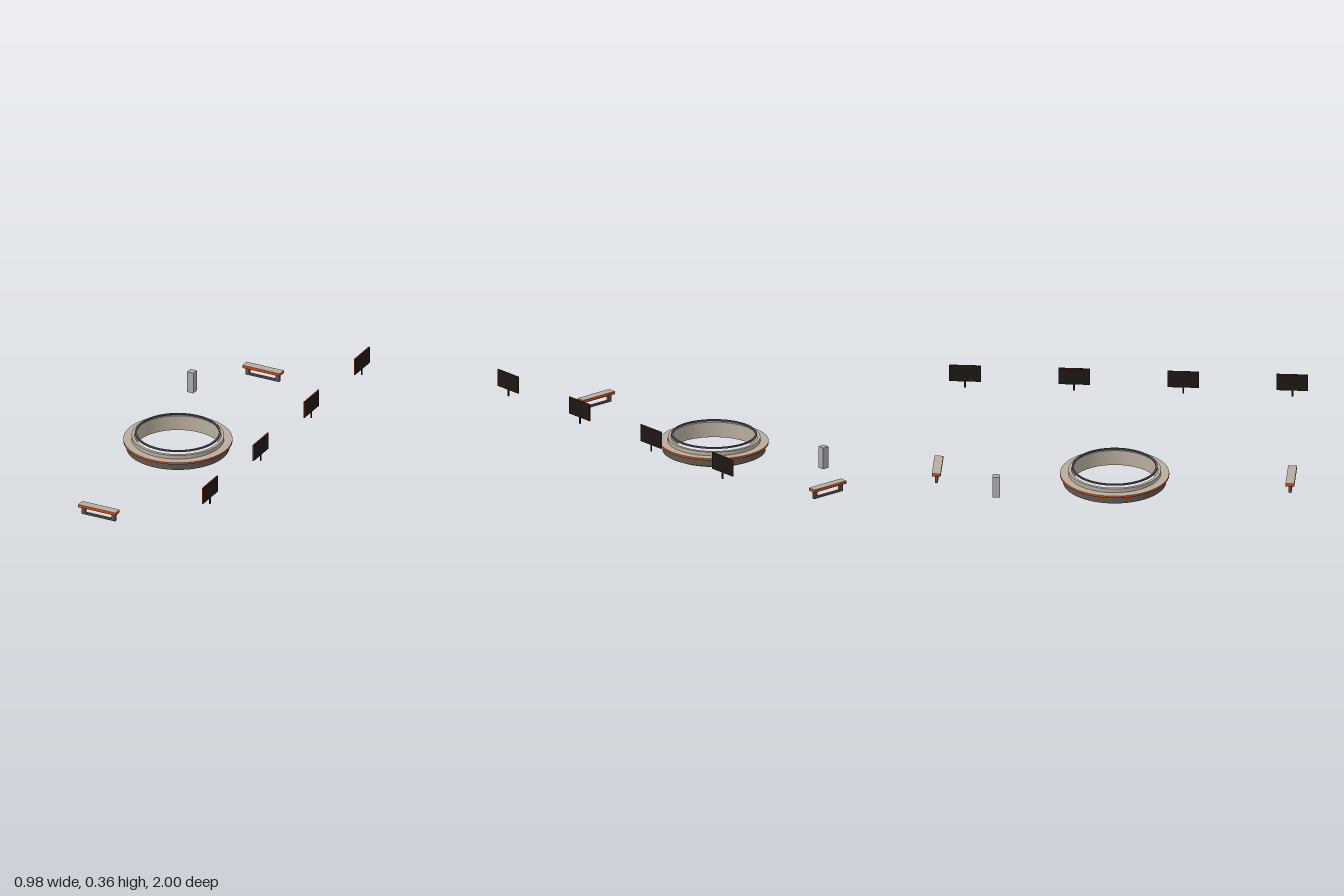
import * as THREE from 'three';
import { toCreasedNormals } from 'three/addons/utils/BufferGeometryUtils.js';

const mat = (color) => new THREE.MeshStandardMaterial({ color });

export function createModel() {
  const stone = mat(0xb8ac9e), orange = mat(0xd0480e), dark = mat(0x5c5853);
  const black = mat(0x1c1714), metal = mat(0x55555a), grey = mat(0xaaaaaa);
  const model = new THREE.Group();

  const group = (name, x, z) => {
    const g = new THREE.Group();
    g.name = name;
    g.position.set(x, 0, z);
    model.add(g);
    return g;
  };

  // Box given by its centre in x and z and its lower and upper y
  const box = (parent, name, material, w, y0, y1, d, x = 0, z = 0) => {
    const m = new THREE.Mesh(new THREE.BoxGeometry(w, y1 - y0, d), material);
    m.name = name;
    m.position.set(x, (y0 + y1) / 2, z);
    parent.add(m);
  };

  // Ring of rectangular section with smooth walls and sharp rims
  const ring = (parent, name, material, ri, ro, y0, y1) => {
    const profile = [[ro, y0], [ro, y1], [ri, y1], [ri, y0], [ro, y0]]
      .map(([r, y]) => new THREE.Vector2(r, y));
    const geo = toCreasedNormals(new THREE.LatheGeometry(profile, 96).toNonIndexed(), 0.6);
    const m = new THREE.Mesh(geo, material);
    m.name = name;
    parent.add(m);
  };

  // Round bench: inner wall, dark body, overhanging seat and a thin rail above
  const round = group('roundBench', -0.194, -0.01);
  ring(round, 'innerWall', stone, 0.235, 0.252, 0, 0.086);
  ring(round, 'body', dark, 0.25, 0.281, 0.013, 0.053);
  ring(round, 'seatEdge', orange, 0.25, 0.297, 0.053, 0.0635);
  ring(round, 'seatTop', stone, 0.25, 0.297, 0.0635, 0.0645);
  ring(round, 'rail', metal, 0.223, 0.233, 0.097, 0.105);

  // Straight benches at both ends, each on an open frame
  for (const z of [0.951, -0.976]) {
    const bench = group('bench', -0.176, z);
    box(bench, 'seat', orange, 0.229, 0.058, 0.0735, 0.048);
    box(bench, 'seatTop', stone, 0.229, 0.0735, 0.0745, 0.048);
    for (const s of [-1, 1]) box(bench, 'leg', metal, 0.022, 0.014, 0.058, 0.016, s * 0.092);
    box(bench, 'crossbar', metal, 0.162, 0.014, 0.024, 0.016);
  }

  // Row of panels with black faces, orange edges and a short stem
  for (let i = 0; i < 4; i++) {
    const sign = group('panel', 0.486, 0.914 - i * 0.5945);
    box(sign, 'panelCore', orange, 0.005, 0.267, 0.363, 0.172);
    for (const s of [-1, 1]) box(sign, 'panelFace', black, 0.001, 0.267, 0.363, 0.172, s * 0.003);
    box(sign, 'stem', black, 0.005, 0.23, 0.267, 0.01);
  }

  // Upright block
  box(group('block', -0.437, -0.639), 'blockBody', grey, 0.04, 0.02, 0.142, 0.04);

  return model;
}
